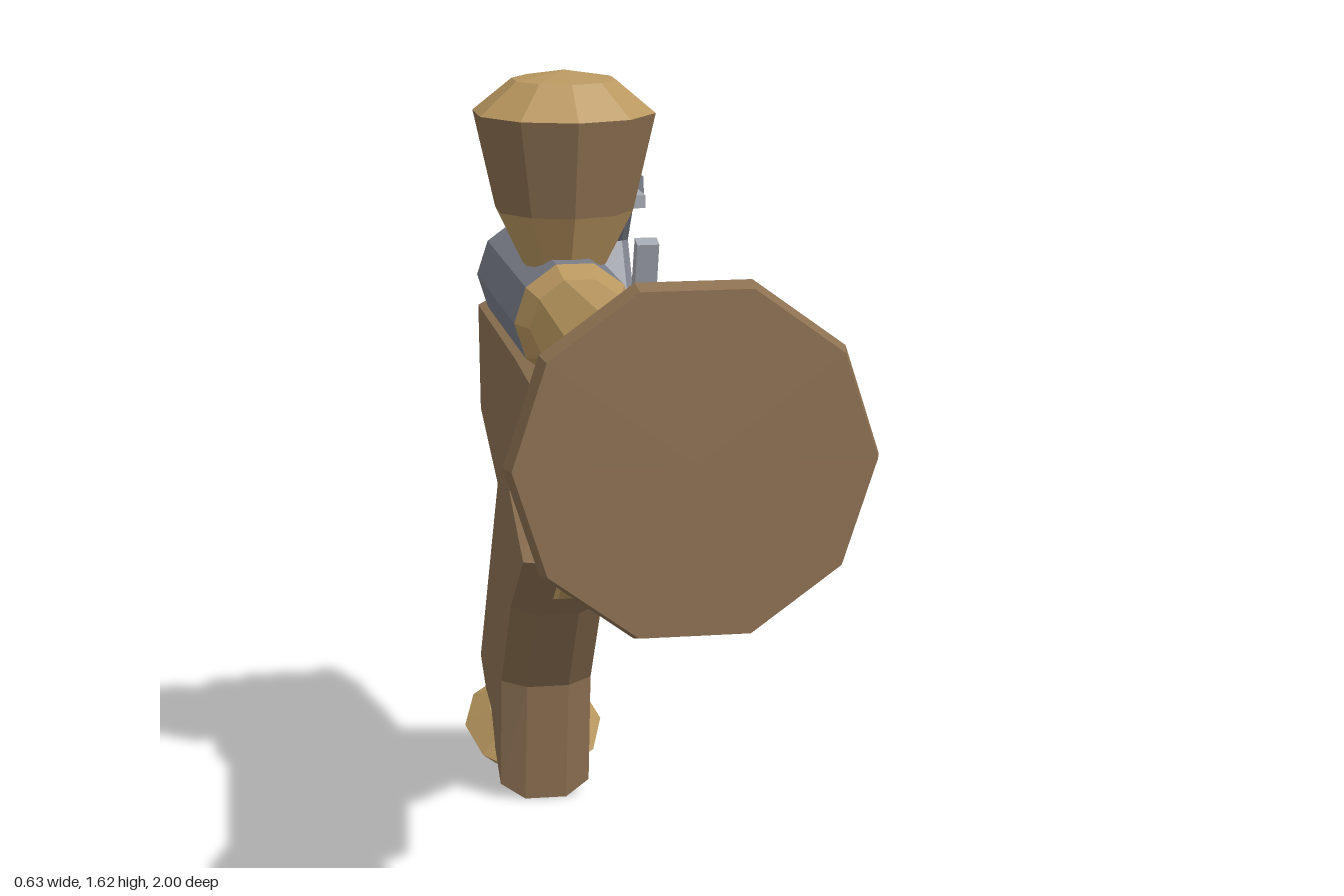
import * as THREE from 'three';

const mat = (name, color) => {
  const m = new THREE.MeshStandardMaterial({ color });
  m.name = name;
  return m;
};

export function createModel() {
  const wood = mat('wood', 0x8d7152);
  const brass = mat('brass', 0xba9860);
  const steel = mat('steel', 0x7a7e89);
  const paleSteel = mat('paleSteel', 0xa4a8b0);
  const model = new THREE.Group();

  // Adds a faceted mesh
  function add(name, geo, material) {
    const g = geo.index ? geo.toNonIndexed() : geo;
    g.computeVertexNormals();
    const mesh = new THREE.Mesh(g, material);
    mesh.name = name;
    model.add(mesh);
    return mesh;
  }

  // Ten-sided turned part; points are [radius, height]
  const turned = (points, start = 0) =>
    new THREE.LatheGeometry(points.map(([r, h]) => new THREE.Vector2(r, h)), 10, start);

  // Side outline in [z, y], spanning x0..x1, with a chamfer on both faces
  function slab(points, x0, x1, bevelX = 0, bevelSize = 0) {
    const shape = new THREE.Shape(points.map(([z, y]) => new THREE.Vector2(z, y)));
    const depth = x1 - x0 - 2 * bevelX;
    const geo = new THREE.ExtrudeGeometry(shape, {
      depth, bevelEnabled: bevelX > 0, bevelThickness: bevelX,
      bevelSize, bevelOffset: -bevelSize, bevelSegments: 1,
    });
    geo.rotateY(-Math.PI / 2);
    geo.translate(x1 - bevelX, 0, 0);
    return geo;
  }

  // Barrel, muzzle and breech lie along z
  const AXIS_Y = 1.14;
  const along = (points) => turned(points, Math.PI / 2).rotateX(Math.PI / 2).translate(0, AXIS_Y, 0);
  add('barrel', along([[0.122, -0.23], [0.1, -0.17], [0.131, 0.37], [0.287, 0.9], [0.315, 0.965]]), brass);
  add('muzzleFace', along([[0.315, 0.965], [0.305, 1], [0, 1]]), wood);
  add('breech', along([[0, -0.78], [0.122, -0.78], [0.122, -0.23], [0, -0.23]]), steel);

  // Stock and grip
  add('stock', slab([
    [0.3, 0.89], [0.23, 1.035], [-0.35, 1.065], [-0.93, 1.07], [-0.9, 0.81], [-0.61, 0.69], [-0.3, 0.755],
  ], -0.103, 0.103, 0.05, 0.022), wood);
  add('grip', slab([
    [-0.26, 0.635], [-0.43, 0.73], [-0.55, 0.8], [-0.66, 0.76], [-0.995, 0.23],
    [-0.635, 0.005], [-0.6, 0.27], [-0.46, 0.47],
  ], -0.097, 0.097, 0.052, 0.025), wood);

  // Pommel facing down and back from the grip
  const pommel = add('pommel', turned([[0, -0.06], [0.1, -0.05], [0.152, 0], [0.105, 0.065], [0, 0.085]], Math.PI / 2), brass);
  pommel.position.set(0, 0.12, -0.82);
  pommel.rotation.x = -Math.PI + Math.atan2(0.52, 0.85);

  // Trigger
  add('trigger', slab([
    [-0.21, 0.73], [-0.245, 0.74], [-0.275, 0.635], [-0.345, 0.57], [-0.44, 0.54],
    [-0.42, 0.515], [-0.32, 0.545], [-0.24, 0.62],
  ], -0.02, 0.02), brass);

  // Powder cup on top of the barrel
  const CUP_Z = -0.367;
  const upright = (points) => turned(points).translate(0, 0, CUP_Z);
  add('cupBase', upright([[0, 1.23], [0.085, 1.235], [0.14, 1.345]]), brass);
  add('cupBody', upright([[0.14, 1.345], [0.185, 1.54]]), wood);
  add('cupCap', upright([[0.185, 1.54], [0.105, 1.605], [0, 1.623]]), brass);

  // Flintlock mechanism on the left flank
  add('lockPlate', slab([
    [-0.305, 1.14], [-0.265, 0.94], [-0.89, 0.925], [-0.965, 1.04], [-0.785, 1.135],
  ], 0.08, 0.148, 0.014, 0.012), paleSteel);
  add('hammer', slab([
    [-0.59, 1.38], [-0.71, 1.35], [-0.835, 1.21], [-0.755, 1.025], [-0.675, 1.06],
    [-0.77, 1.205], [-0.685, 1.315], [-0.585, 1.325],
  ], 0.13, 0.205, 0.015, 0.01), steel);
  add('flint', new THREE.BoxGeometry(0.045, 0.026, 0.13).translate(0.165, 1.335, -0.545), paleSteel);
  add('frizzen', slab([[-0.34, 1.27], [-0.37, 1.28], [-0.43, 1.1], [-0.39, 1.09]], 0.145, 0.19), paleSteel);
  add('pan', new THREE.BoxGeometry(0.085, 0.036, 0.13).translate(0.163, 1.083, -0.432), steel);

  return model;
}
